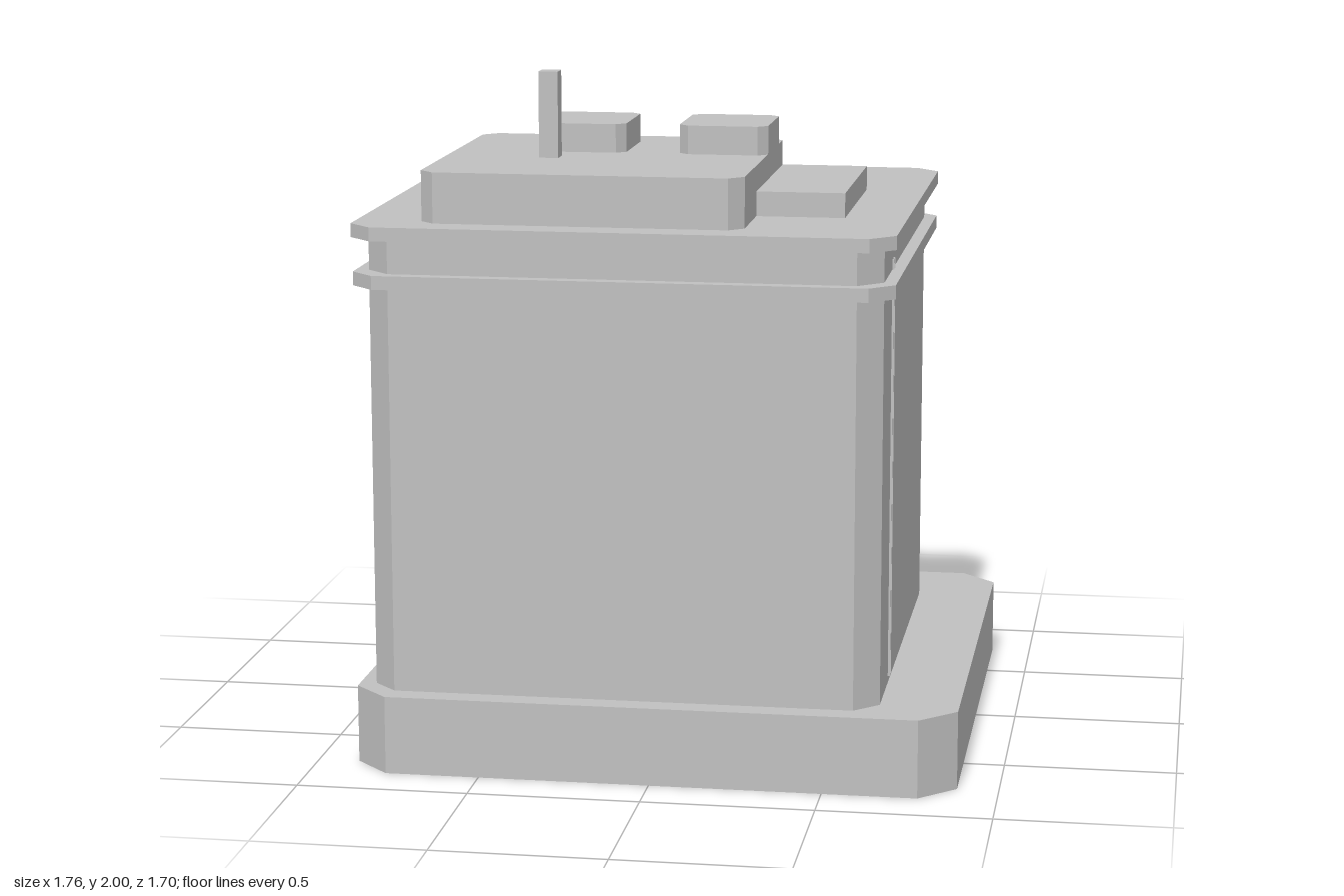
import * as THREE from 'three';

const grey = new THREE.MeshStandardMaterial({ color: 0xc0c0c0 });
grey.name = 'plain grey';

// Upright slab between two corners, with its four vertical edges cut by c
function slab(name, [x0, x1], [y0, y1], [z0, z1], c = 0) {
  const w = (x1 - x0) / 2, d = (z1 - z0) / 2;
  let geometry;
  if (c > 0) {
    const shape = new THREE.Shape([
      [w, -d + c], [w, d - c], [w - c, d], [-w + c, d],
      [-w, d - c], [-w, -d + c], [-w + c, -d], [w - c, -d],
    ].map(([x, y]) => new THREE.Vector2(x, y)));
    geometry = new THREE.ExtrudeGeometry(shape, { depth: y1 - y0, bevelEnabled: false });
    geometry.rotateX(-Math.PI / 2).translate(0, (y0 - y1) / 2, 0);
  } else {
    geometry = new THREE.BoxGeometry(2 * w, y1 - y0, 2 * d);
  }
  const mesh = new THREE.Mesh(geometry, grey);
  mesh.name = name;
  mesh.position.set((x0 + x1) / 2, (y0 + y1) / 2, (z0 + z1) / 2);
  return mesh;
}

export function createModel() {
  const model = new THREE.Group();
  model.name = 'blockBuilding';

  // Plinth, main block and the two projecting bands
  model.add(
    slab('plinth', [-0.88, 0.88], [0, 0.23], [-0.85, 0.85], 0.105),
    slab('mainBlock', [-0.832, 0.652], [0.23, 1.56], [-0.635, 0.78], 0.07),
    slab('lowerBand', [-0.87, 0.688], [1.42, 1.46], [-0.67, 0.818], 0.07),
    slab('roofSlab', [-0.873, 0.69], [1.56, 1.6], [-0.68, 0.823], 0.07),
  );

  // Pair of narrow ribs up the left wall
  for (const z of [0.446, 0.477]) {
    model.add(slab('wallRib', [0.645, 0.658], [0.25, 1.49], [z - 0.003, z + 0.003]));
  }

  // Penthouse, its low annex and the mast
  model.add(
    slab('penthouse', [-0.682, 0.252], [1.6, 1.747], [-0.195, 0.725], 0.042),
    slab('annex', [0.24, 0.51], [1.6, 1.672], [-0.16, 0.44]),
    slab('mast', [-0.402, -0.345], [1.747, 2], [0.305, 0.362]),
  );

  // Two rooftop units, each with a ledge at the back
  for (const x of [-0.303, 0.121]) {
    const unit = new THREE.Group();
    unit.name = 'rooftopUnit';
    unit.add(
      slab('unitBody', [x - 0.132, x + 0.132], [1.747, 1.832], [-0.08, 0.218], 0.028),
      slab('unitLedge', [x - 0.098, x + 0.098], [1.785, 1.811], [-0.105, -0.06], 0.008),
    );
    model.add(unit);
  }
  return model;
}
